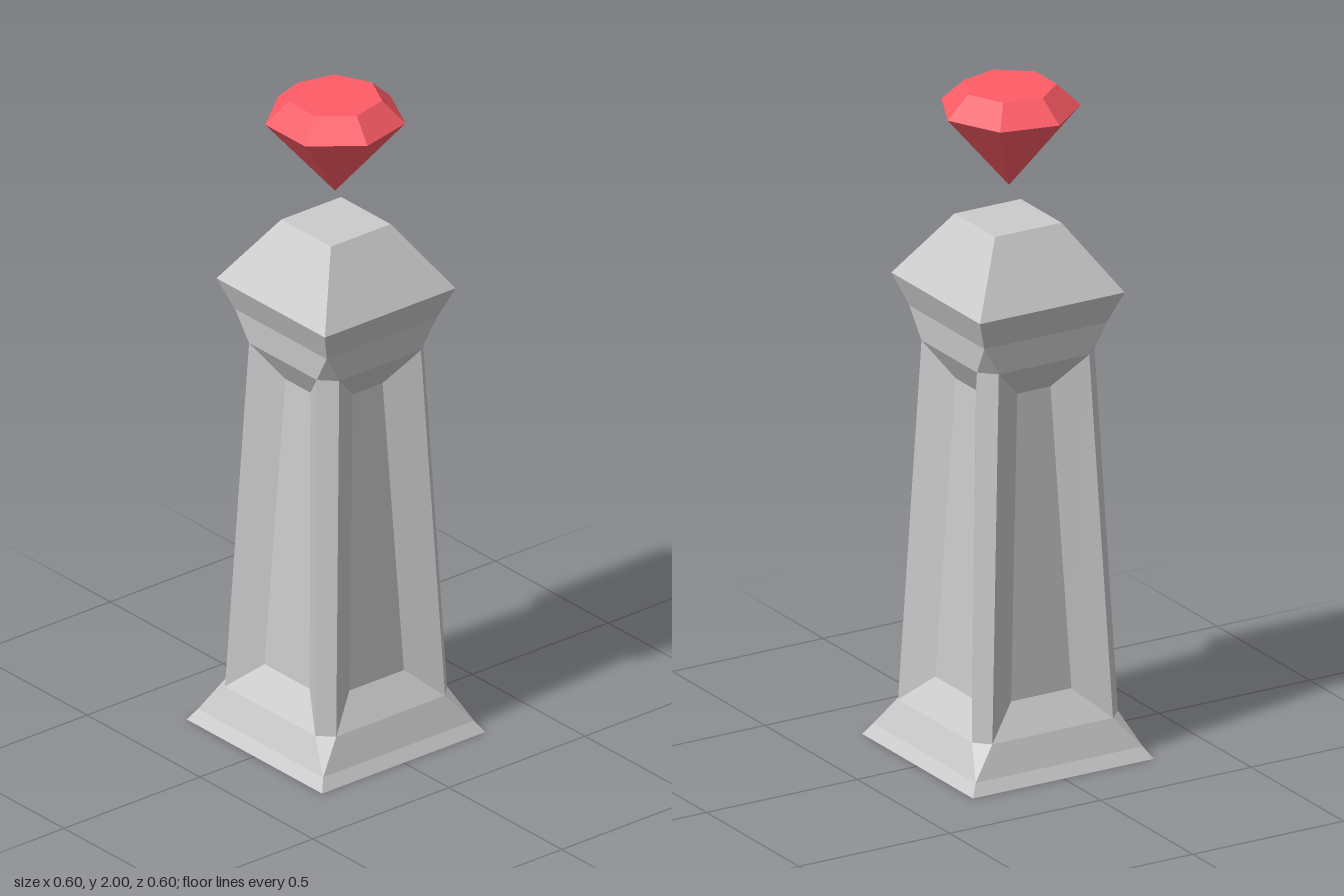
import * as THREE from 'three';

// Half-profile of one side: [half width, height, distance from axis]
const ROWS = [
  [0.30, 0, 0.30], [0.277, 0.035, 0.277], [0.20, 0.125, 0.242], // flared base
  [0.10, 0.215, 0.18], [0.055, 1.125, 0.14],                    // recessed panel
  [0.15, 1.22, 0.195], [0.203, 1.31, 0.203],                    // under the capital
  [0.24, 1.405, 0.24], [0.11, 1.6, 0.11],                       // capital
];

// Flat-shaded geometry from polygons whose corners run counter-clockwise
function facets(polygons) {
  const positions = [];
  for (const p of polygons) {
    for (let i = 1; i < p.length - 1; i++) positions.push(...p[0], ...p[i], ...p[i + 1]);
  }
  const geometry = new THREE.BufferGeometry();
  geometry.setAttribute('position', new THREE.Float32BufferAttribute(positions, 3));
  geometry.computeVertexNormals();
  return geometry;
}

// Corner point of a row on side k (sign: -1 left, +1 right, seen from outside)
function point(k, row, sign) {
  const [w, y, d] = ROWS[row];
  return new THREE.Vector3(sign * w, y, d)
    .applyAxisAngle(new THREE.Vector3(0, 1, 0), k * Math.PI / 2).toArray();
}

function addBands(polygons, from, to) {
  for (let k = 0; k < 4; k++) {
    for (let r = from; r < to; r++) {
      polygons.push([point(k, r, -1), point(k, r, 1), point(k, r + 1, 1), point(k, r + 1, -1)]);
    }
  }
}

export function createModel() {
  const group = new THREE.Group();
  const stone = new THREE.MeshStandardMaterial({ color: 0xcccccc, flatShading: true });
  const red = new THREE.MeshStandardMaterial({ color: 0xff5c66, flatShading: true });
  const sides = [0, 1, 2, 3];
  const add = (name, geometry, material) => {
    const mesh = new THREE.Mesh(geometry, material);
    mesh.name = name;
    group.add(mesh);
    return mesh;
  };

  // Flared base with a closed underside
  const base = [sides.map((k) => point(k, 0, 1)).reverse()];
  addBands(base, 0, 3);
  for (const k of sides) base.push([point(k, 1, 1), point(k + 1, 2, -1), point(k, 2, 1)]);
  add('base', facets(base), stone);

  // Tapering shaft: recessed panels, their sloping sides and chamfered corners
  const shaft = [];
  addBands(shaft, 3, 4);
  for (const k of sides) {
    shaft.push([2, 3, 4, 5].map((r) => point(k, r, -1)));
    shaft.push([5, 4, 3, 2].map((r) => point(k, r, 1)));
    shaft.push([point(k, 2, 1), point(k + 1, 2, -1), point(k + 1, 5, -1), point(k, 5, 1)]);
  }
  add('shaft', facets(shaft), stone);

  // Capital with a flat top
  const capital = [sides.map((k) => point(k, 8, 1))];
  addBands(capital, 4, 8);
  for (const k of sides) capital.push([point(k, 5, 1), point(k + 1, 5, -1), point(k, 6, 1)]);
  add('capital', facets(capital), stone);

  // Seven-sided gem floating above
  const crown = add('gemCrown', new THREE.CylinderGeometry(0.136, 0.2036, 0.065, 7, 1, false, Math.PI), red);
  crown.position.set(0, 1.9675, 0.0036);
  const point7 = add('gemPoint', new THREE.CylinderGeometry(0.2036, 0, 0.235, 7, 1, true, Math.PI), red);
  point7.position.set(0, 1.8175, 0.0036);

  return group;
}
